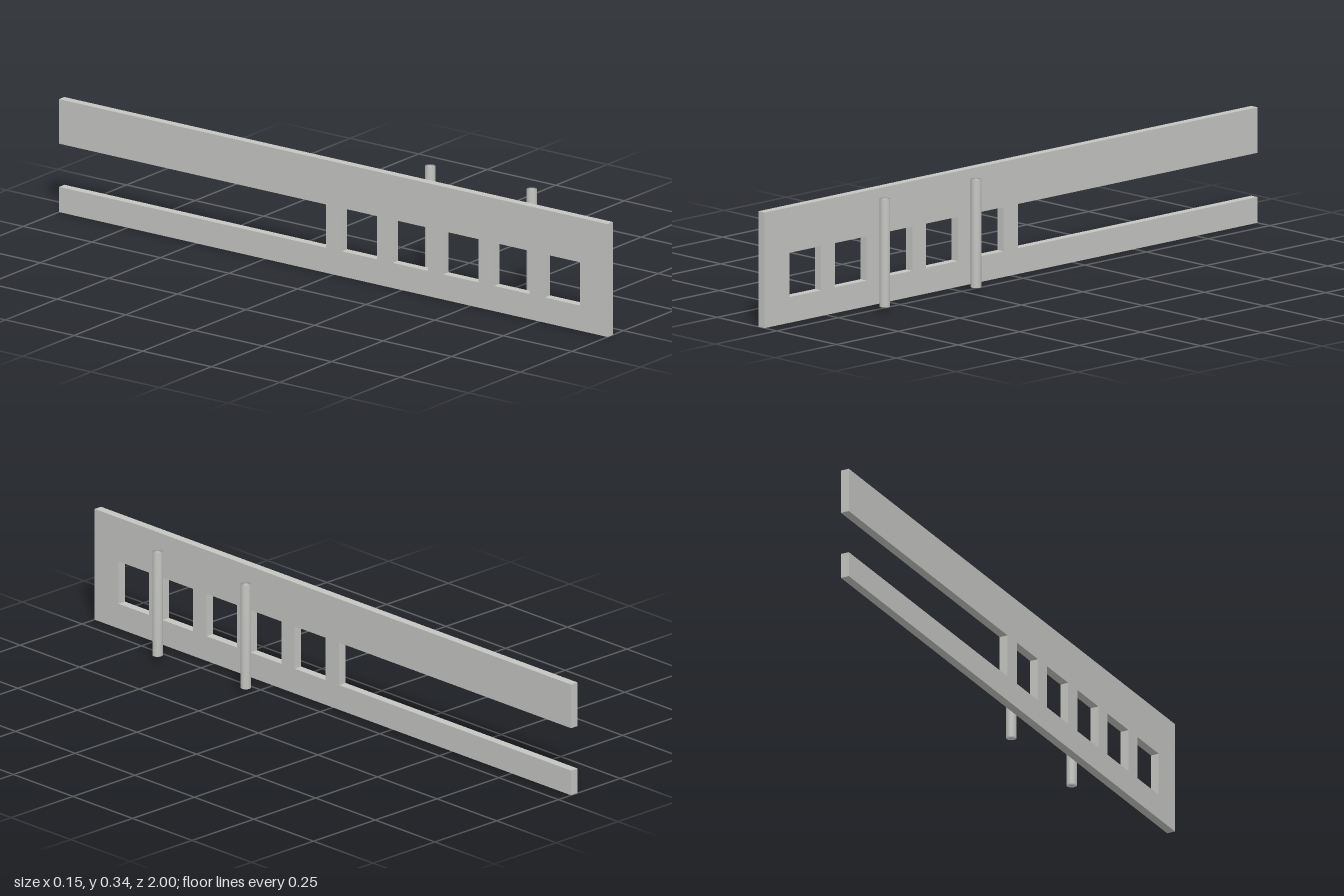
import * as THREE from 'three';
import { mergeVertices } from 'three/addons/utils/BufferGeometryUtils.js';

export function createModel() {
  const group = new THREE.Group();
  const paleGrey = new THREE.MeshStandardMaterial({ color: 0xc4c4c1 });
  paleGrey.name = 'paleGrey';

  const height = 0.345, holeBottom = 0.077, holeTop = 0.209;

  // Side panel outline drawn along the length (-z to the right), open slot at the back
  const outline = new THREE.Shape([
    [-1, 0], [1, 0], [1, holeBottom], [0.027, holeBottom],
    [0.027, holeTop], [1, holeTop], [1, height], [-1, height],
  ].map(([u, v]) => new THREE.Vector2(u, v)));

  // Row of five evenly spaced windows
  const windowWidth = 0.129, pitch = 0.185;
  for (let i = 0; i < 5; i++) {
    const a = -0.9 + i * pitch, b = a + windowWidth;
    outline.holes.push(new THREE.Path([
      new THREE.Vector2(a, holeBottom), new THREE.Vector2(a, holeTop),
      new THREE.Vector2(b, holeTop), new THREE.Vector2(b, holeBottom),
    ]));
  }
  const panelGeometry = new THREE.ExtrudeGeometry(outline, { depth: 0.026, bevelEnabled: false });
  panelGeometry.rotateY(Math.PI / 2);
  const panel = new THREE.Mesh(panelGeometry, paleGrey);
  panel.name = 'sidePanel';
  panel.position.x = -0.077;
  group.add(panel);

  // Upright rods, with normals shared between wall and caps
  const rodBottom = 0.023, rodLength = height - rodBottom;
  let rodGeometry = new THREE.CylinderGeometry(0.0155, 0.0155, rodLength, 24);
  rodGeometry.deleteAttribute('normal');
  rodGeometry.deleteAttribute('uv');
  rodGeometry = mergeVertices(rodGeometry);
  rodGeometry.computeVertexNormals();
  [['frontRod', 0.62], ['rearRod', 0.25]].forEach(([name, z]) => {
    const rod = new THREE.Mesh(rodGeometry, paleGrey);
    rod.name = name;
    rod.position.set(0.06, rodBottom + rodLength / 2, z);
    group.add(rod);
  });

  return group;
}
